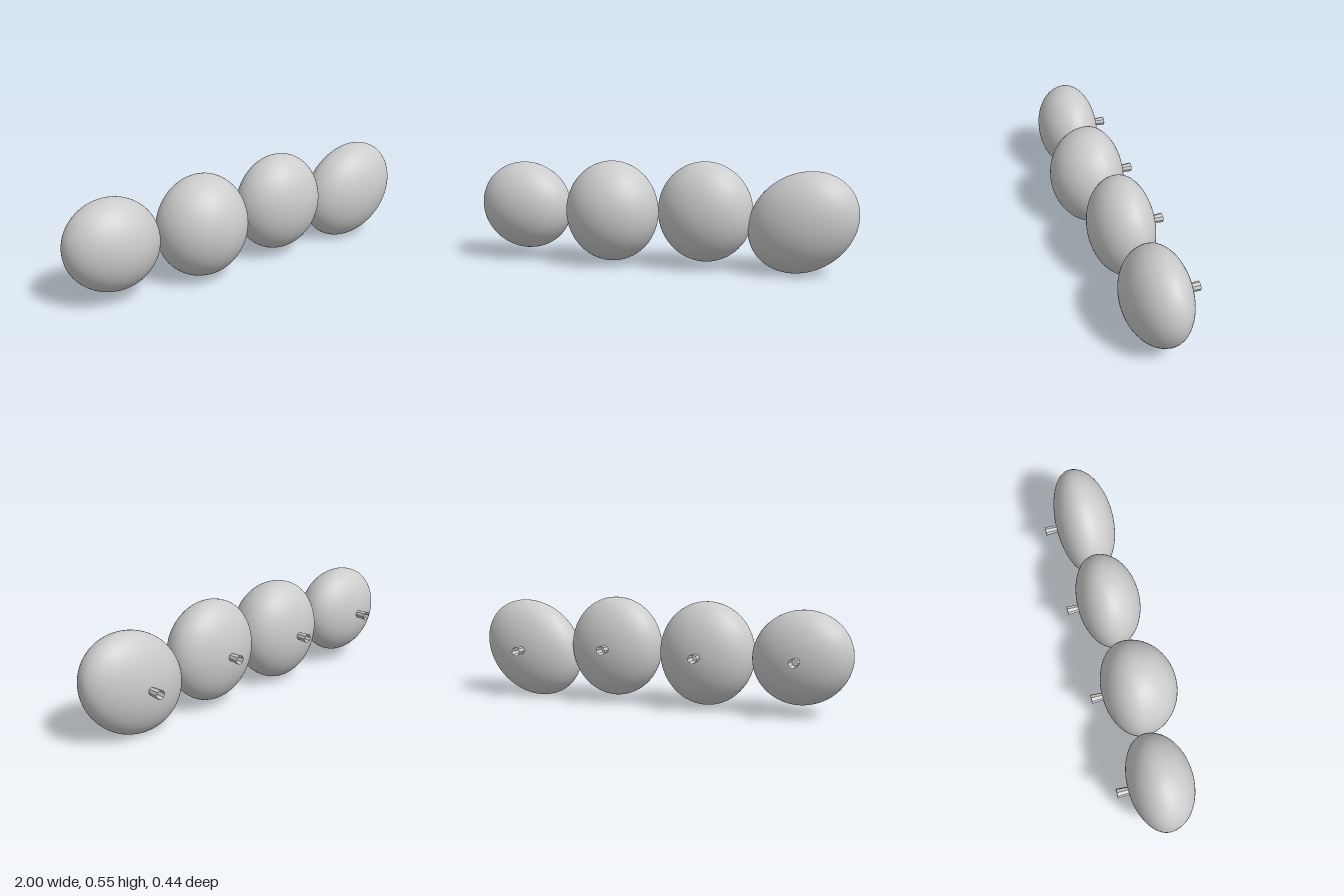
import * as THREE from 'three';

const gray = new THREE.MeshStandardMaterial({ color: 0xcccccc, side: THREE.DoubleSide });
gray.name = 'light gray';

// Smooth dome pair: an ellipsoid whose front and back halves have different depths
function pebbleGeometry(a, b, front, back) {
  const geo = new THREE.SphereGeometry(1, 64, 40);
  geo.rotateX(Math.PI / 2);
  const p = geo.attributes.position, n = geo.attributes.normal;
  const normal = new THREE.Vector3();
  for (let i = 0; i < p.count; i++) {
    const x = p.getX(i), y = p.getY(i), z = p.getZ(i);
    const c = z > 0 ? front : back;
    p.setXYZ(i, x * a, y * b, z * c);
    normal.set(x / a, y / b, z / c).normalize();
    n.setXYZ(i, normal.x, normal.y, normal.z);
  }
  return geo;
}

// Open, slightly flared eight-sided peg pointing backwards, with faceted sides
function pegGeometry() {
  const geo = new THREE.CylinderGeometry(0.024, 0.018, 0.08, 8, 1, true).toNonIndexed();
  geo.computeVertexNormals();
  geo.rotateX(-Math.PI / 2);
  return geo;
}

export function createModel() {
  const model = new THREE.Group();
  model.name = 'pebbleRow';

  // centre, half sizes, front and back depth, tilt, peg x
  const pebbles = [
    { at: [-0.754, 0.283, -0.016], a: 0.248, b: 0.23, front: 0.176, back: 0.147, tilt: -0.29, pegX: -0.756 },
    { at: [-0.263, 0.275, 0.0], a: 0.245, b: 0.262, front: 0.22, back: 0.163, tilt: 0, pegX: -0.263 },
    { at: [0.23, 0.289, -0.017], a: 0.246, b: 0.257, front: 0.179, back: 0.146, tilt: 0, pegX: 0.228 },
    { at: [0.725, 0.257, -0.018], a: 0.289, b: 0.241, front: 0.173, back: 0.14, tilt: 0.6, pegX: 0.722 },
  ];
  const pegGeo = pegGeometry();

  pebbles.forEach((s, i) => {
    const unit = new THREE.Group();
    unit.name = `unit${i + 1}`;

    const body = new THREE.Mesh(pebbleGeometry(s.a, s.b, s.front, s.back), gray);
    body.name = 'pebble';
    body.position.set(...s.at);
    body.rotation.z = s.tilt;

    const peg = new THREE.Mesh(pegGeo, gray);
    peg.name = 'backPeg';
    peg.position.set(s.pegX, s.at[1], -0.18);

    unit.add(body, peg);
    model.add(unit);
  });
  return model;
}
